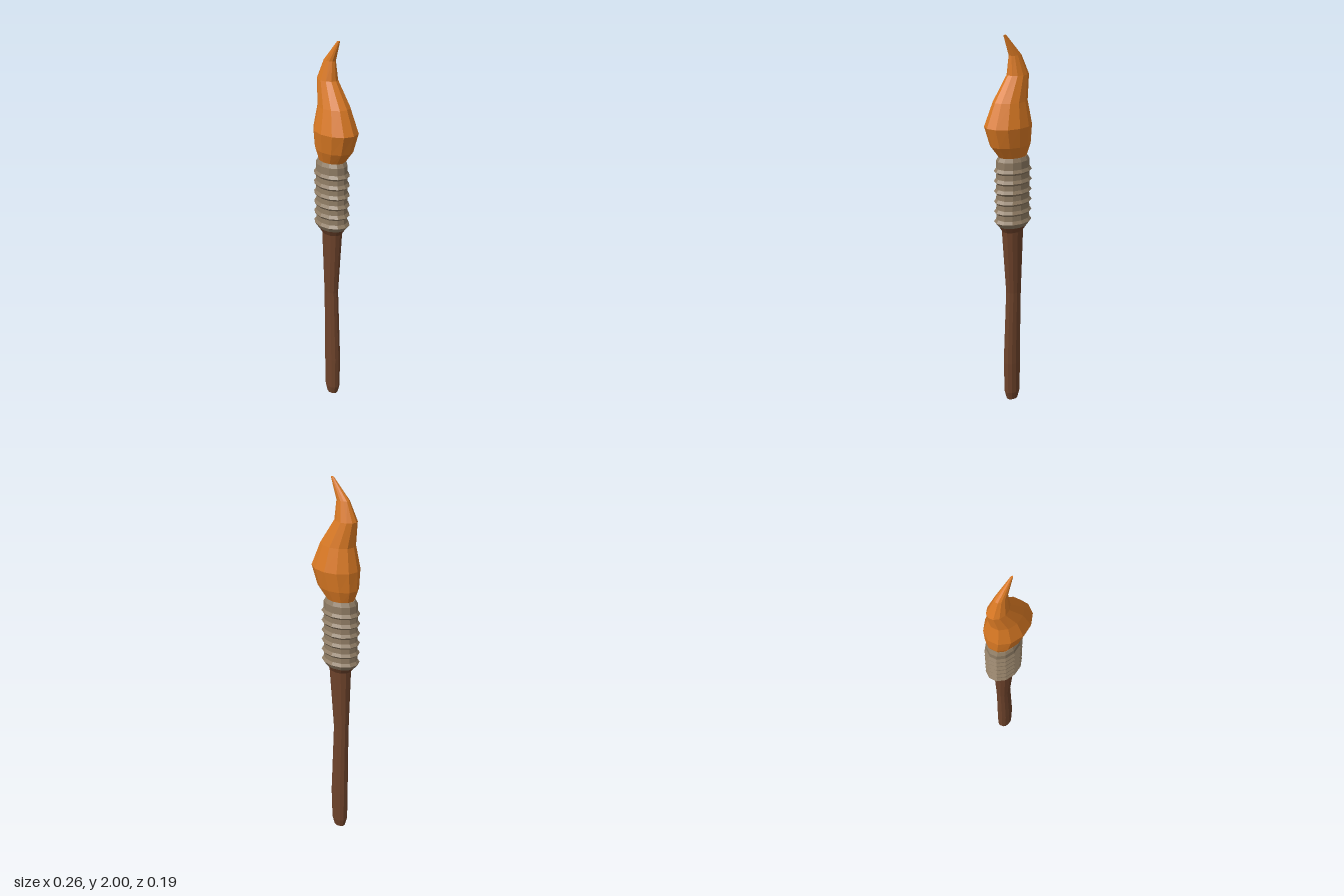
import * as THREE from 'three';

const SIDES = 12;
const DEPTH = 0.75; // every ring is an ellipse, narrower front to back

const paint = (name, color) => {
  const m = new THREE.MeshStandardMaterial({ color, flatShading: true });
  m.name = name;
  return m;
};

// Loft through rings given bottom to top as [y, left x, right x, optional half depth], capped at both ends
function loft(name, rings, material) {
  const pos = [], idx = [];
  const centre = ([y, a, b]) => [(a + b) / 2, y, 0];
  for (const [y, a, b, d = ((b - a) / 2) * DEPTH] of rings) {
    for (let i = 0; i < SIDES; i++) {
      const t = (i / SIDES) * Math.PI * 2;
      pos.push((a + b) / 2 + Math.cos(t) * (b - a) / 2, y, Math.sin(t) * d);
    }
  }
  const bottom = rings.length * SIDES, top = bottom + 1, last = bottom - SIDES;
  pos.push(...centre(rings[0]), ...centre(rings[rings.length - 1]));
  for (let i = 0; i < SIDES; i++) {
    const j = (i + 1) % SIDES;
    for (let r = 0; r < last; r += SIDES) {
      idx.push(r + i, r + SIDES + i, r + j, r + j, r + SIDES + i, r + SIDES + j);
    }
    idx.push(bottom, i, j, top, last + j, last + i);
  }
  const g = new THREE.BufferGeometry();
  g.setAttribute('position', new THREE.Float32BufferAttribute(pos, 3));
  g.setIndex(idx);
  g.computeVertexNormals();
  const mesh = new THREE.Mesh(g, material);
  mesh.name = name;
  return mesh;
}

export function createModel() {
  const group = new THREE.Group();
  group.name = 'torch';
  const wood = paint('brown wood', 0x6e432b);
  const cloth = paint('grey cloth', 0x8f7c64);
  const fire = paint('orange flame', 0xdb7a24);

  // Slightly crooked handle with a flared collar
  group.add(loft('handle', [
    [0, -0.058, 0.008],
    [0.045, -0.07, 0.02],
    [0.23, -0.072, 0.025],
    [0.44, -0.073, 0.017],
    [0.65, -0.076, 0.009],
    [1.0, -0.086, 0.034],
    [1.03, -0.11, 0.053],
  ], wood));

  // Wrapping: six sharp ridges, each with a steep underside
  const cx = -0.028;
  const ring = (y, r) => [y, cx - r, cx + r];
  const wrap = [ring(1.03, 0.083)];
  for (let i = 0; i < 6; i++) {
    const y = 1.056 + i * 0.054;
    if (i > 0) wrap.push(ring(y - 0.012, 0.091));
    wrap.push(ring(y, 0.105), ring(y + 0.016, 0.093));
  }
  wrap.push(ring(1.38, 0.092), ring(1.4, 0.08));
  group.add(loft('wrapping', wrap, cloth));

  // Flame with a bent tip
  group.add(loft('flame', [
    [1.39, -0.1, 0.045, 0.055],
    [1.46, -0.124, 0.1, 0.08],
    [1.56, -0.127, 0.131, 0.097],
    [1.68, -0.104, 0.082, 0.07],
    [1.805, -0.117, 0.003, 0.044],
    [1.9, -0.075, -0.005, 0.023],
    [2.0, 0.014, 0.03, 0.005],
  ], fire));

  return group;
}
